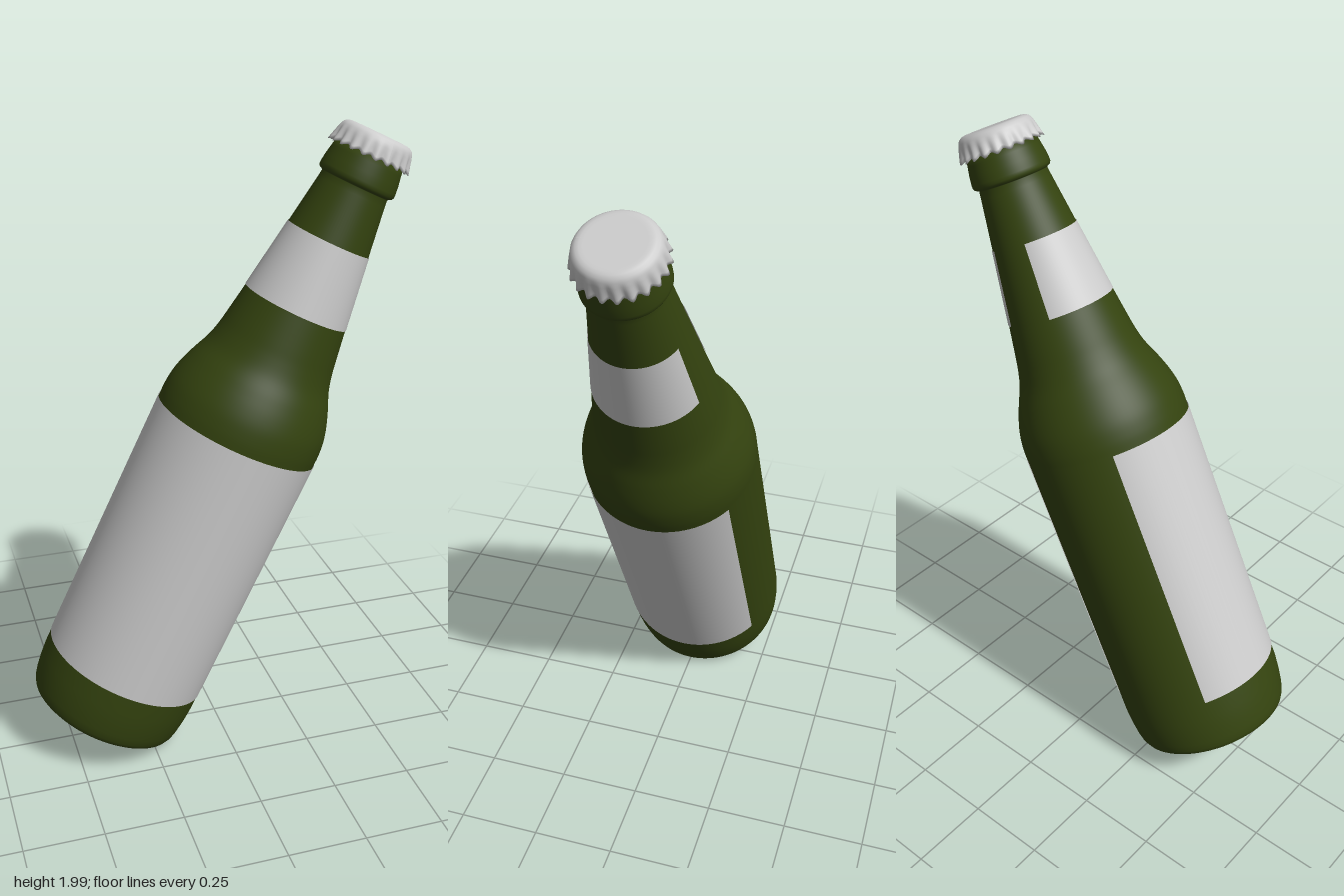
import * as THREE from 'three';

const GREEN = 0x34430f, GREY = 0xcccccc;
const v = (r, h) => new THREE.Vector2(r, h);
const rad = THREE.MathUtils.degToRad;

function part(name, geometry, color, side = THREE.FrontSide) {
  const mesh = new THREE.Mesh(geometry, new THREE.MeshStandardMaterial({ color, side }));
  mesh.name = name;
  return mesh;
}

// Thin paper band wrapped part of the way round the glass
function label(name, points, fromDeg, toDeg) {
  const g = new THREE.LatheGeometry(points, 80, rad(fromDeg), rad(toDeg - fromDeg));
  return part(name, g, GREY, THREE.DoubleSide);
}

// Crown cap: a lathe whose skirt is pushed in and out into flutes
function crownCap() {
  const teeth = 21;
  const profile = [
    v(0.108, 1.992), v(0.127, 1.985), v(0.125, 1.995), v(0.122, 2.01), v(0.119, 2.025),
    v(0.115, 2.038), v(0.109, 2.047), v(0.1, 2.053), v(0.09, 2.055), v(0.08, 2.055), v(0, 2.055),
  ];
  const g = new THREE.LatheGeometry(profile, teeth * 8);
  const pos = g.attributes.position;
  for (let i = 0; i < pos.count; i++) {
    const x = pos.getX(i), y = pos.getY(i), z = pos.getZ(i);
    const r = Math.hypot(x, z);
    if (r < 0.11) continue;
    const depth = THREE.MathUtils.clamp((2.035 - y) / 0.045, 0, 1);
    const wave = Math.cos(teeth * Math.atan2(x, z));
    const k = 1 + (0.0055 * depth * wave) / r;
    pos.setXYZ(i, x * k, y - 0.005 * depth * wave, z * k);
  }
  g.computeVertexNormals();
  return part('crownCap', g, GREY, THREE.DoubleSide);
}

export function createModel() {
  const bottle = new THREE.Group();
  bottle.name = 'bottle';

  // Rounded shoulder running into the neck
  const shoulder = new THREE.SplineCurve([
    v(0.267, 1.063), v(0.267, 1.1), v(0.262, 1.145), v(0.25, 1.19), v(0.231, 1.24),
    v(0.207, 1.295), v(0.193, 1.345), v(0.183, 1.4), v(0.168, 1.49),
  ]).getPoints(40);

  // Glass: shallow base hollow, straight body, shoulder, neck and lip ring
  const glassProfile = [
    v(0, 0.02), v(0.15, 0.016), v(0.21, 0.006), v(0.225, 0), v(0.236, 0.001), v(0.247, 0.008),
    v(0.254, 0.022), v(0.259, 0.045), v(0.264, 0.085), v(0.267, 0.13), v(0.267, 0.19),
    v(0.267, 0.6), ...shoulder, v(0.133, 1.717), v(0.11, 1.87), v(0.107, 1.892),
    v(0.11, 1.894), v(0.118, 1.898), v(0.122, 1.905), v(0.122, 1.915), v(0.119, 1.94),
    v(0.113, 1.97), v(0.108, 2.0), v(0, 2.01),
  ];
  bottle.add(part('glassBottle', new THREE.LatheGeometry(glassProfile, 96), GREEN));

  // Labels, both open at the back
  bottle.add(label('bodyLabel', [v(0.2695, 0.19), v(0.2695, 1.063)], -133, 145));
  bottle.add(label('neckLabel', [v(0.1702, 1.49), v(0.1352, 1.717)], -146, 158));

  bottle.add(crownCap());

  // Bottle leans over, balanced on the rim of its base
  bottle.rotation.set(rad(0.35), 0, rad(-25.8));
  bottle.position.set(-0.388, 0.103, -0.004);

  const model = new THREE.Group();
  model.name = 'leaningBottle';
  model.add(bottle);
  return model;
}
